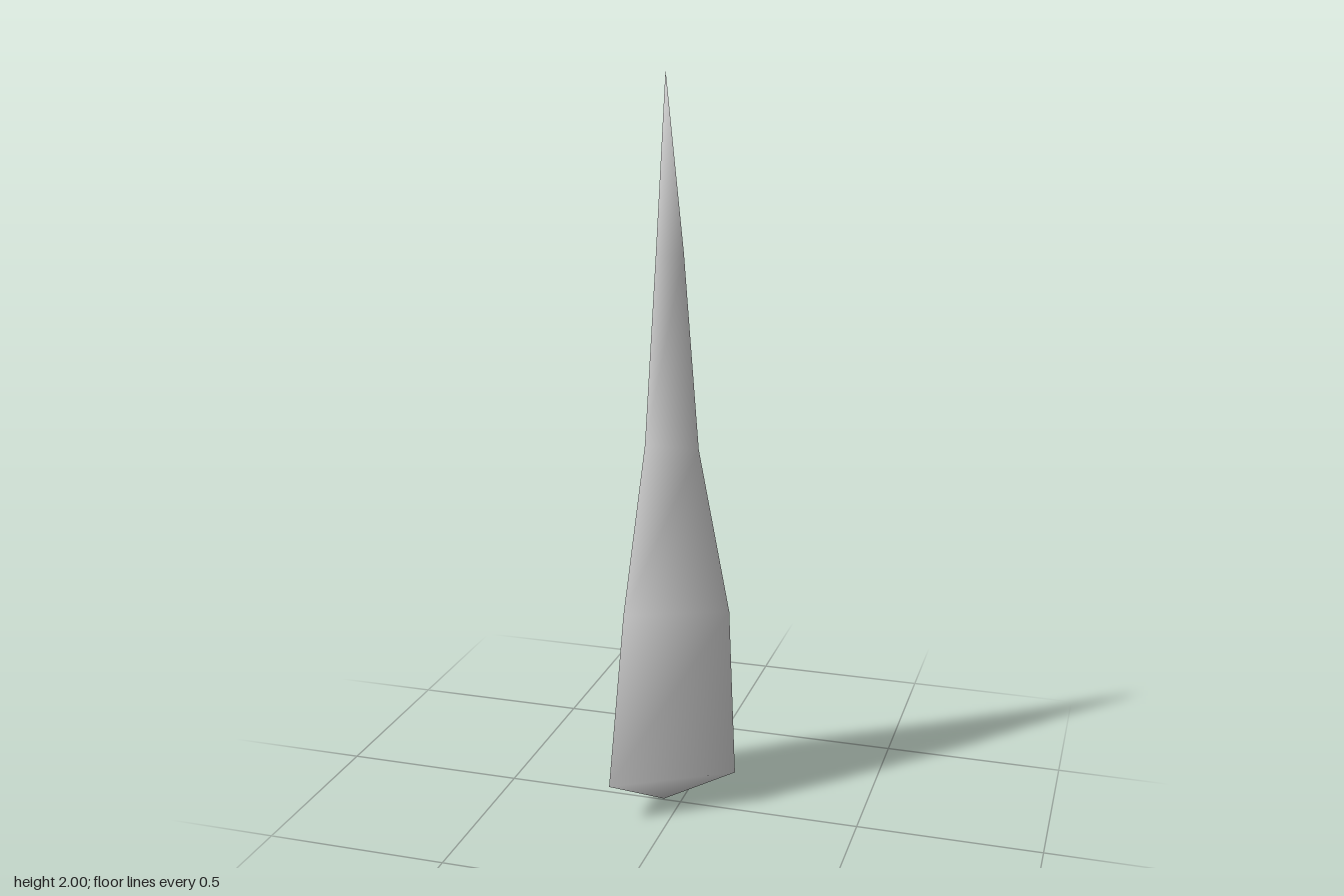
import * as THREE from 'three';

// Triangular cross-sections from bottom to top: front, right and back corners.
const rings = [
  [[-0.15, 0.11, 0.175], [0.15, 0.1, -0.025], [-0.15, 0.11, -0.177]],
  [[-0.122, 0.59, 0.122], [0.127, 0.57, -0.036], [-0.148, 0.59, -0.15]],
  [[-0.077, 1.05, 0.066], [0.05, 1.03, 0.0], [-0.098, 1.07, -0.11]],
  [[-0.064, 1.53, 0.008], [0.0, 1.54, -0.031], [-0.066, 1.53, -0.073]],
];
const bottomTip = [-0.05, 0, -0.005];
const topTip = [-0.05, 2, -0.037];

function makeMesh(name, points, index, material) {
  const geometry = new THREE.BufferGeometry();
  geometry.setAttribute('position', new THREE.Float32BufferAttribute(points.flat(), 3));
  geometry.setIndex(index);
  geometry.computeVertexNormals();
  const mesh = new THREE.Mesh(geometry, material);
  mesh.name = name;
  return mesh;
}

export function createModel() {
  const group = new THREE.Group();
  group.name = 'crystalSpike';
  const material = new THREE.MeshStandardMaterial({ color: 0xcccccc });

  // Smooth-shaded shard: point below, three tapering bands, point above
  const points = [...rings.flat(), bottomTip, topTip];
  const bottom = points.length - 2, top = points.length - 1;
  const last = (rings.length - 1) * 3;
  const index = [];
  for (let i = 0; i < 3; i++) {
    const j = (i + 1) % 3;
    index.push(bottom, j, i, last + i, last + j, top);
    for (let r = 0; r < rings.length - 1; r++) {
      if (r === 1 && i === 1) continue; // filled by the flat facet
      const lo = r * 3, up = lo + 3;
      index.push(lo + i, lo + j, up + j, lo + i, up + j, up + i);
    }
  }
  group.add(makeMesh('shard', points, index, material));

  // Flat facet on the back right side
  const facet = [rings[1][1], rings[1][2], rings[2][2], rings[2][1]];
  group.add(makeMesh('flatFacet', facet, [0, 1, 2, 0, 2, 3], material));

  return group;
}
